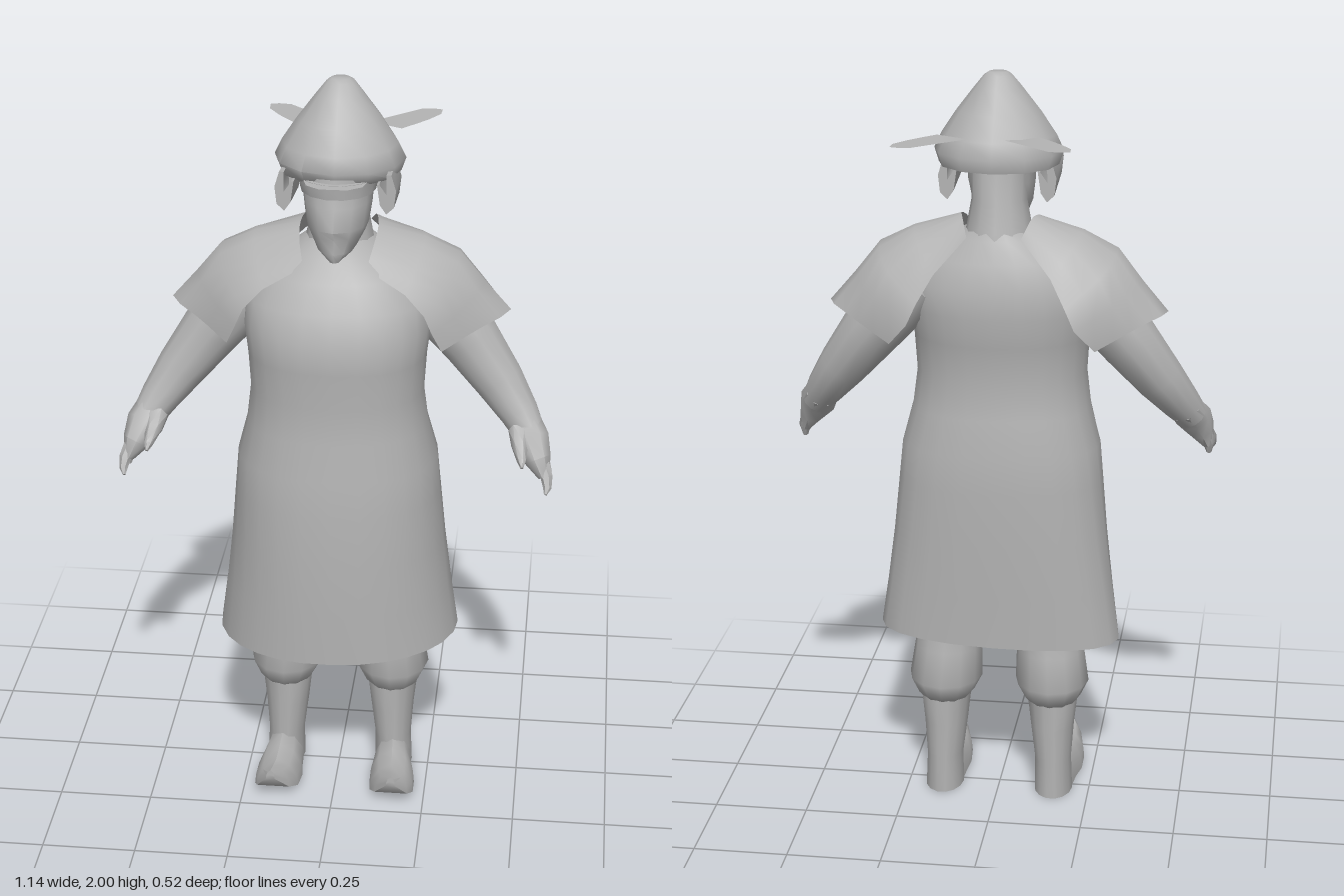
import * as THREE from 'three';
import { mergeVertices, toCreasedNormals } from 'three/addons/utils/BufferGeometryUtils.js';

const grey = new THREE.MeshStandardMaterial({ color: 0xb4b4b4, side: THREE.DoubleSide });
grey.name = 'plain grey';
const V = (x, y, z) => new THREE.Vector3(x, y, z);

// Skin a list of point rows; closed rows become a tube, ends may be capped
function loft(rows, { closed = true, caps = true, crease = 1.0 } = {}) {
  const pos = [], n = rows[0].length;
  const tri = (...p) => p.forEach(v => pos.push(v.x, v.y, v.z));
  for (let i = 0; i < rows.length - 1; i++) {
    for (let j = 0; j < (closed ? n : n - 1); j++) {
      const k = (j + 1) % n, a = rows[i], b = rows[i + 1];
      tri(a[j], b[j], b[k]);
      tri(a[j], b[k], a[k]);
    }
  }
  if (closed && caps) {
    [rows[0], rows[rows.length - 1]].forEach((r, end) => {
      const c = r.reduce((s, p) => s.add(p), V(0, 0, 0)).divideScalar(n);
      r.forEach((p, j) => end ? tri(c, r[(j + 1) % n], p) : tri(c, p, r[(j + 1) % n]));
    });
  }
  const g = new THREE.BufferGeometry();
  g.setAttribute('position', new THREE.Float32BufferAttribute(pos, 3));
  return toCreasedNormals(mergeVertices(g), crease);
}

// Horizontal ring: height, centre x, half width, front z, back z;
// taper narrows the front and widens the back
function ring(y, cx, hw, zf, zb, n = 16, e = 1, taper = 0) {
  const pw = t => Math.sign(t) * Math.pow(Math.abs(t), e);
  return Array.from({ length: n }, (_, j) => {
    const a = (j / n) * Math.PI * 2, s = pw(Math.sin(a));
    return V(cx + hw * pw(Math.cos(a)) * (1 - taper * s), y, (zf + zb) / 2 + (zf - zb) / 2 * s);
  });
}

// Limb along a path of [x, y, z, radius across, radius in depth]
function limb(path, n = 10) {
  const pts = path.map(p => V(p[0], p[1], p[2]));
  return loft(pts.map((p, i) => {
    const d = pts[Math.min(i + 1, pts.length - 1)].clone().sub(pts[Math.max(i - 1, 0)]).normalize();
    const u = d.clone().cross(V(0, 0, 1)).normalize(), w = u.clone().cross(d).normalize();
    const [, , , ru, rw = ru] = path[i];
    return Array.from({ length: n }, (_, j) => {
      const a = (j / n) * Math.PI * 2;
      return p.clone().addScaledVector(u, ru * Math.cos(a)).addScaledVector(w, rw * Math.sin(a));
    });
  }));
}

// Mirror across x and restore the winding
function mirrored(g) {
  const m = (g.index ? g.toNonIndexed() : g.clone()).scale(-1, 1, 1);
  for (const a of Object.values(m.attributes)) {
    const s = a.itemSize;
    for (let t = 0; t < a.count; t += 3) {
      for (let k = 0; k < s; k++) {
        const i = (t + 1) * s + k, tmp = a.array[i];
        a.array[i] = a.array[i + s];
        a.array[i + s] = tmp;
      }
    }
  }
  return m;
}

// Flat horizontal plate from [x, z] corners
function plate(corners, y) {
  const shape = new THREE.Shape(corners.map(([x, z]) => new THREE.Vector2(x, -z)));
  return new THREE.ShapeGeometry(shape).rotateX(-Math.PI / 2).translate(0, y, 0);
}

export function createModel() {
  const model = new THREE.Group();
  model.name = 'robedFigure';
  const add = (name, g) => {
    const m = new THREE.Mesh(g, grey);
    m.name = name;
    model.add(m);
  };
  const pair = (name, g) => {
    add(name + 'Left', g);
    add(name + 'Right', mirrored(g));
  };

  // Long tunic, open at the hem
  const tunic = [
    [0.46, 0.318, 0.25, -0.135], [0.6, 0.3, 0.253, -0.14], [0.75, 0.284, 0.255, -0.148],
    [0.9, 0.272, 0.25, -0.15], [1.0, 0.264, 0.243, -0.15], [1.1, 0.238, 0.23, -0.135],
    [1.2, 0.226, 0.225, -0.125], [1.3, 0.232, 0.235, -0.14], [1.38, 0.242, 0.235, -0.155],
    [1.45, 0.235, 0.205, -0.15], [1.52, 0.19, 0.17, -0.135], [1.575, 0.11, 0.13, -0.11], [1.6, 0.07, 0.08, -0.1],
  ].map(([y, w, f, b]) => ring(y, 0, w, f, b, 24, 0.88, 0.18 * Math.max(0, Math.min(1, (1.15 - y) / 0.6))));
  tunic[0].forEach(p => { p.y += p.x * 0.03; });
  add('tunic', loft(tunic, { caps: false }));

  // Neck and head
  add('neck', loft([[1.52, 0.1, 0.09, -0.12], [1.6, 0.085, 0.08, -0.105], [1.67, 0.072, 0.06, -0.085],
    [1.78, 0.075, 0.06, -0.07]].map(([y, w, f, b]) => ring(y, 0, w, f, b, 12))));
  add('head', loft([[1.57, 0.02, 0.142, 0.05], [1.595, 0.05, 0.15, -0.01], [1.63, 0.07, 0.142, -0.04],
    [1.655, 0.08, 0.156, -0.06], [1.71, 0.088, 0.135, -0.068], [1.8, 0.092, 0.125, -0.07]]
    .map(([y, w, f, b]) => ring(y, 0, w, f, b, 12))));

  // Conical hat with its rolled-under rim
  add('hat', loft([[1.76, 0.1, 0.09, -0.12], [1.765, 0.155, 0.115, -0.165], [1.8, 0.167, 0.135, -0.175],
    [1.84, 0.148, 0.12, -0.155], [1.9, 0.108, 0.083, -0.122], [1.96, 0.062, 0.035, -0.085],
    [1.992, 0.036, 0.003, -0.066], [2.0, 0.024, -0.01, -0.054]]
    .map(([y, w, f, b]) => ring(y, 0, w, f, b, 12))));
  add('hatBand', loft([[1.735, 0.096, 0.135, -0.06], [1.775, 0.105, 0.14, -0.07]]
    .map(([y, w, f, b]) => ring(y, 0, w, f, b, 14)), { caps: false }));

  // Small front visor
  add('visor', plate([[-0.08, 0.1], [-0.07, 0.137], [-0.035, 0.162], [0.035, 0.162], [0.07, 0.137], [0.08, 0.1]], 1.774));

  // Curled ear flaps with a little thickness
  pair('earFlap', loft([-0.06, 0.025, 0.11].map(z => [[0.14, 1.775], [0.152, 1.735], [0.147, 1.69], [0.128, 1.672],
    [0.112, 1.695], [0.104, 1.75], [0.11, 1.75], [0.12, 1.705], [0.128, 1.69], [0.136, 1.7], [0.138, 1.735], [0.128, 1.775]]
    .map(([x, y]) => V(x, y + z * 0.13 + 0.008, z)))));

  // Flat feathers at the back of the hat, slightly uneven
  const feather = [[0.043, -0.142], [0.09, -0.185], [0.13, -0.222], [0.168, -0.258], [0.2, -0.262], [0.222, -0.256],
    [0.22, -0.22], [0.19, -0.172], [0.16, -0.135], [0.128, -0.098]];
  add('featherLeft', plate(feather, 1.848).translate(0.02, 0, 0));
  add('featherRight', plate(feather.map(([x, z]) => [-x, z]), 1.848).translate(0.015, 0, 0));

  // Shoulder capes, rows from the neck to the hem and points from front to back
  pair('shoulderCape', loft([
    [[0.08, 1.55, 0.125], [0.095, 1.6, 0.07], [0.1, 1.625, 0], [0.09, 1.63, -0.06], [0.07, 1.59, -0.125]],
    [[0.18, 1.495, 0.148], [0.205, 1.55, 0.075], [0.22, 1.593, -0.01], [0.205, 1.575, -0.09], [0.15, 1.5, -0.168]],
    [[0.23, 1.445, 0.165], [0.285, 1.5, 0.08], [0.31, 1.55, -0.02], [0.285, 1.51, -0.125], [0.19, 1.43, -0.2]],
    [[0.25, 1.4, 0.168], [0.315, 1.425, 0.08], [0.375, 1.468, -0.03], [0.325, 1.44, -0.14], [0.215, 1.375, -0.205]],
    [[0.275, 1.345, 0.152], [0.35, 1.365, 0.065], [0.442, 1.39, -0.035], [0.375, 1.37, -0.12], [0.265, 1.315, -0.175]],
  ].map(r => new THREE.CatmullRomCurve3(r.map(p => V(...p))).getPoints(10)), { closed: false }));

  // Arms and hands
  pair('arm', limb([[0.21, 1.45, -0.03, 0.08], [0.27, 1.39, -0.03, 0.088], [0.34, 1.305, -0.025, 0.08],
    [0.42, 1.2, -0.002, 0.066], [0.475, 1.125, 0.03, 0.052], [0.505, 1.08, 0.06, 0.042]], 12));
  pair('palm', limb([[0.485, 1.11, 0.035, 0.045], [0.508, 1.07, 0.075, 0.05, 0.042], [0.528, 1.03, 0.105, 0.036, 0.045],
    [0.545, 0.99, 0.115, 0.016, 0.036]], 8));
  pair('finger', limb([[0.54, 1.02, 0.115, 0.02], [0.553, 0.995, 0.135, 0.016], [0.556, 0.97, 0.15, 0.011],
    [0.552, 0.957, 0.162, 0.004]], 6));
  pair('innerFinger', limb([[0.535, 1.03, 0.09, 0.022], [0.55, 0.99, 0.098, 0.016], [0.55, 0.962, 0.105, 0.007]], 6));
  pair('thumb', limb([[0.478, 1.095, 0.07, 0.03], [0.48, 1.07, 0.11, 0.022], [0.487, 1.045, 0.15, 0.012],
    [0.489, 1.033, 0.167, 0.004]], 6));

  // Baggy trousers gathered over the boots
  pair('trouserLeg', loft([[0.27, 0.147, 0.066, 0.06, -0.09], [0.285, 0.147, 0.078, 0.078, -0.108],
    [0.33, 0.146, 0.1, 0.095, -0.13], [0.42, 0.14, 0.092, 0.088, -0.105], [0.55, 0.13, 0.09, 0.085, -0.1]]
    .map(([y, c, w, f, b]) => ring(y, c, w, f, b, 12))));

  // Boots: shaft, then a foot with an upturned toe
  pair('bootShaft', loft([[0, 0.152, 0.052, 0.06, -0.095], [0.1, 0.15, 0.05, 0.062, -0.095],
    [0.2, 0.147, 0.06, 0.064, -0.095], [0.29, 0.147, 0.07, 0.066, -0.095]]
    .map(([y, c, w, f, b]) => ring(y, c, w, f, b, 14))));
  pair('bootFoot', loft([[-0.03, 0.152, 0.048, 0, 0.115], [0.05, 0.154, 0.054, 0, 0.115], [0.1, 0.157, 0.062, 0.001, 0.1],
    [0.16, 0.16, 0.06, 0.008, 0.09], [0.21, 0.163, 0.045, 0.035, 0.1], [0.25, 0.165, 0.012, 0.085, 0.112]]
    .map(([z, c, w, lo, hi]) => [[1, 0], [0.95, 0.35], [0.6, 0.8], [0, 1], [-0.6, 0.8], [-0.95, 0.35], [-1, 0]]
      .map(([u, v]) => V(c - w * u, lo + (hi - lo) * v, z))), { crease: 0.8 }));

  return model;
}
